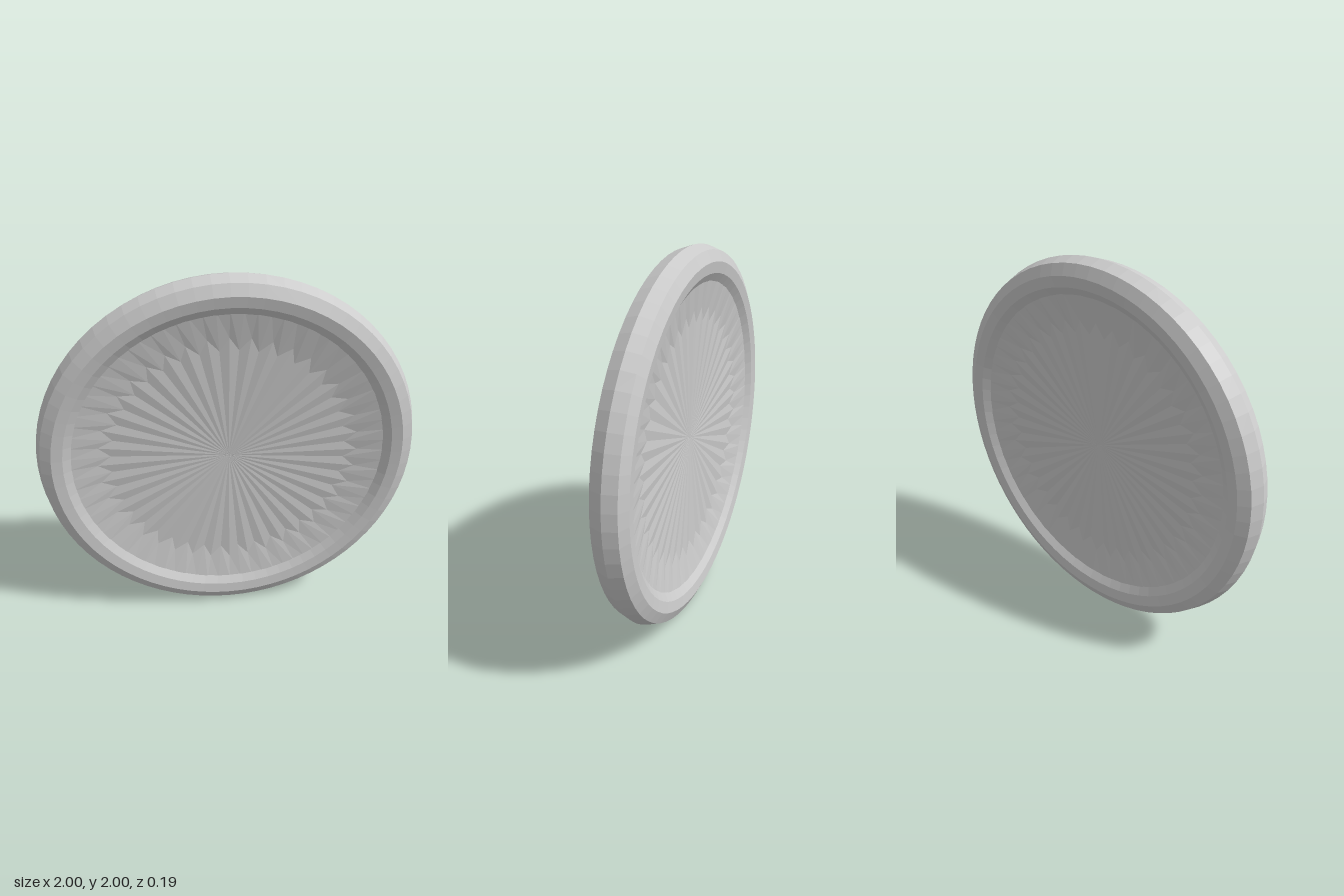
import * as THREE from 'three';

// Spins a profile of [radius, depth] points around the z axis.
function spin(points, segments) {
  const profile = points.map(([r, z]) => new THREE.Vector2(r, z));
  return new THREE.LatheGeometry(profile, segments).rotateX(Math.PI / 2);
}

function addPart(group, name, geometry) {
  const material = new THREE.MeshStandardMaterial({ color: 0xcccccc, flatShading: true });
  const mesh = new THREE.Mesh(geometry, material);
  mesh.name = name;
  mesh.position.y = 1;
  group.add(mesh);
}

export function createModel() {
  const group = new THREE.Group();
  group.name = 'roundDish';

  // Faceted rim: bevelled outside, shallow lip inside
  addPart(group, 'rim', spin([
    [0.815, -0.053], [0.863, -0.085], [0.92, -0.094], [0.977, -0.067], [1, 0],
    [0.977, 0.067], [0.92, 0.094], [0.863, 0.085], [0.815, 0.053], [0.815, -0.053],
  ], 72));

  // Dished panel on both faces, with a fluted border
  const panel = spin([
    [0, -0.01], [0.69, -0.032], [0.84, -0.061],
    [0.84, 0.061], [0.69, 0.032], [0, 0.01],
  ], 80);

  // Move every second point of the inner border inward to form the teeth
  const pos = panel.attributes.position;
  const rows = 6;
  const k = 0.62 / 0.69;
  for (let i = 0; i < pos.count; i++) {
    const column = Math.floor(i / rows), row = i % rows;
    if (column % 2 === 1 && (row === 1 || row === 4)) {
      pos.setXYZ(i, pos.getX(i) * k, pos.getY(i) * k, Math.sign(pos.getZ(i)) * 0.024);
    }
  }
  panel.computeVertexNormals();
  addPart(group, 'panel', panel);

  return group;
}
